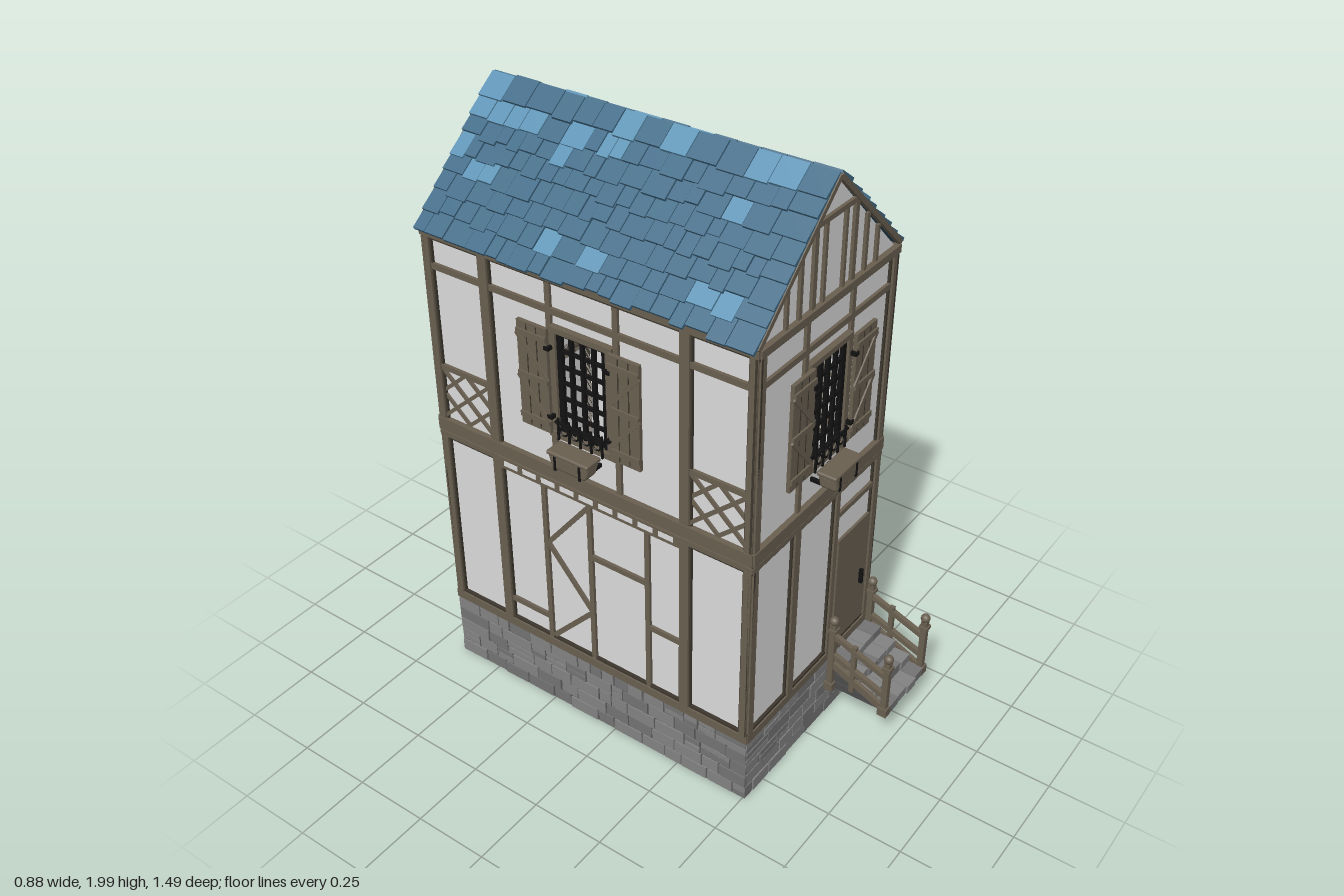
import * as THREE from 'three';
import { mergeGeometries } from 'three/addons/utils/BufferGeometryUtils.js';
import { RoundedBoxGeometry } from 'three/addons/geometries/RoundedBoxGeometry.js';

const material = (name, color, side = THREE.FrontSide) => {
  const m = new THREE.MeshStandardMaterial({ color, side });
  m.name = name;
  return m;
};
const plaster = material('plaster', 0xdcdcdc, THREE.DoubleSide);
const timber = material('timber', 0x6a6051);
const darkTimber = material('dark timber', 0x3d372e);
const iron = material('iron', 0x121212);
const stone = material('stone', 0x838383);
const darkStone = material('dark stone', 0x747474);
const mortar = material('mortar', 0x4c4c4c);
const slate = material('blue slate', 0x416b87);
const paleSlate = material('pale slate', 0x5d93b4);
const deepSlate = material('deep slate', 0x2d4c62, THREE.DoubleSide);

let seed = 7;
const rand = (a = 0, b = 1) => {
  seed = (seed * 16807) % 2147483647;
  return a + (b - a) * (seed / 2147483647);
};

function add(parent, name, geometry, mat, x = 0, y = 0, z = 0) {
  const m = new THREE.Mesh(geometry, mat);
  m.name = name;
  m.position.set(x, y, z);
  parent.add(m);
  return m;
}
const box = (p, name, mat, x, y, z, w, h, d) => add(p, name, new THREE.BoxGeometry(w, h, d), mat, x, y, z);

// Straight timber between two points on a wall face; its back sits at depth z0
function bar(p, name, mat, x1, y1, x2, y2, w, d = 0.01, z0 = 0) {
  const m = box(p, name, mat, (x1 + x2) / 2, (y1 + y2) / 2, z0 + d / 2, Math.hypot(x2 - x1, y2 - y1), w, d);
  m.rotation.z = Math.atan2(y2 - y1, x2 - x1);
  return m;
}
// Heavy post with a thin dark edge
function post(p, x, y1, y2, w) {
  bar(p, 'postEdge', darkTimber, x, y1, x, y2, w + 0.012, 0.008);
  bar(p, 'post', timber, x, y1, x, y2, w, 0.015);
}

// Group whose +x runs along the wall and +z points out of the house
function face(house, name, x, z, turn) {
  const g = new THREE.Group();
  g.name = name;
  g.position.set(x, 0, z);
  g.rotation.y = turn;
  house.add(g);
  return g;
}

function rectPath(PathType, x1, y1, x2, y2) {
  return new PathType([[x1, y1], [x2, y1], [x2, y2], [x1, y2]].map(([x, y]) => new THREE.Vector2(x, y)));
}

// Wall sheet with a window opening, ring beams and rubble base
function wallBasics(g, half) {
  const sheet = rectPath(THREE.Shape, -half, 0, half, 1.62);
  sheet.holes.push(rectPath(THREE.Path, -0.09, 1.115, 0.09, 1.45));
  add(g, 'plasterWall', new THREE.ShapeGeometry(sheet), plaster);
  const e = half + 0.012;
  [[0.256, 0.03, 0.015], [0.915, 0.018, 0.015], [0.952, 0.044, 0.018], [1.618, 0.024, 0.018]]
    .forEach(([y, h, d]) => bar(g, 'ringBeam', timber, -e, y, e, y, h, d));
  [[0.929, 0.012], [1.602, 0.012], [0.902, 0.01], [0.275, 0.01]]
    .forEach(([y, h]) => bar(g, 'beamEdge', darkTimber, -e, y, e, y, h, 0.01));
  for (const s of [-1, 1]) for (const [a, b] of [[0.27, 0.905], [0.97, 1.61]]) post(g, s * (half - 0.004), a, b, 0.026);

  bar(g, 'mortarBed', mortar, -half, 0.12, half, 0.12, 0.24, 0.007);
  const lists = [[], []];
  const rowH = 0.24 / 5;
  for (let r = 0; r < 5; r++) {
    for (let x = -e; x < e - 0.01;) {
      let w = rand(0.045, 0.13);
      if (e - x - w < 0.04) w = e - x;
      const split = rand() < 0.2 ? 2 : 1;
      for (let k = 0; k < split; k++) {
        const h = rowH / split, d = rand(0.009, 0.013);
        const b = new THREE.BoxGeometry(w - 0.005, h - 0.004, d);
        b.rotateZ(rand(-0.02, 0.02));
        b.translate(x + w / 2, r * rowH + (k + 0.5) * h, d / 2);
        lists[rand() < 0.65 ? 0 : 1].push(b);
      }
      x += w;
    }
  }
  add(g, 'baseStones', mergeGeometries(lists[0]), stone);
  add(g, 'baseDarkStones', mergeGeometries(lists[1]), darkStone);
}

// Upper bay: rails, lattice window, shutters and flower box
function windowBay(g) {
  bar(g, 'upperRail', timber, -0.335, 1.508, 0.335, 1.508, 0.02);
  for (const s of [-1, 1]) {
    bar(g, 'stud', timber, s * 0.118, 0.97, s * 0.118, 1.6, 0.018);
    bar(g, 'windowJamb', timber, s * 0.1, 1.1, s * 0.1, 1.465, 0.022, 0.02);
    // Braced shutter
    const x1 = s * 0.108, x2 = s * 0.216;
    bar(g, 'shutter', timber, (x1 + x2) / 2, 1.11, (x1 + x2) / 2, 1.46, 0.108, 0.012, 0.022);
    for (const t of [1 / 3, 2 / 3]) {
      const x = x1 + (x2 - x1) * t;
      bar(g, 'shutterGap', darkTimber, x, 1.115, x, 1.455, 0.004, 0.001, 0.0338);
    }
    for (const y of [1.145, 1.285, 1.425]) bar(g, 'shutterBatten', timber, x1, y, x2, y, 0.018, 0.007, 0.033);
    for (const y of [1.15, 1.29]) bar(g, 'shutterBrace', timber, x1, y, x2, y + 0.13, 0.014, 0.006, 0.033);
    for (const y of [1.17, 1.4]) box(g, 'shutterHinge', iron, s * 0.107, y, 0.026, 0.018, 0.012, 0.025);
  }
  bar(g, 'windowHead', timber, -0.11, 1.457, 0.11, 1.457, 0.018, 0.02);
  bar(g, 'windowSill', timber, -0.12, 1.106, 0.12, 1.106, 0.02, 0.025);
  const inner = add(g, 'innerBoard', new THREE.PlaneGeometry(0.18, 0.335), timber, 0, 1.283, -0.004);
  inner.rotation.y = Math.PI;
  for (let i = 0; i < 5; i++) {
    const x = -0.08 + i * 0.04;
    bar(g, 'windowBar', iron, x, 1.115, x, 1.45, i % 4 ? 0.012 : 0.018, 0.012);
  }
  for (let i = 0; i < 7; i++) bar(g, 'windowBar', iron, -0.09, 1.125 + i * 0.053, 0.09, 1.125 + i * 0.053, 0.01, 0.01);

  // Tapered flower box on iron scrolls
  const tub = new RoundedBoxGeometry(0.146, 0.055, 0.06, 2, 0.012);
  const p = tub.attributes.position;
  for (let i = 0; i < p.count; i++) if (p.getY(i) < 0) p.setX(i, p.getX(i) * 0.87);
  add(g, 'flowerBox', tub, timber, 0, 1.07, 0.066);
  add(g, 'flowerBoxRim', new RoundedBoxGeometry(0.152, 0.014, 0.066, 2, 0.006), timber, 0, 1.096, 0.066);
  for (const x of [-0.045, 0.045]) {
    bar(g, 'boxStrap', iron, x, 1.042, x, 1.09, 0.008, 0.004, 0.094);
    box(g, 'boxBracket', iron, x, 1.045, 0.035, 0.01, 0.012, 0.07);
  }
  bar(g, 'ironRail', iron, -0.09, 1.16, 0.09, 1.16, 0.007, 0.007, 0.03);
  for (let i = 0; i < 5; i++) {
    const x = -0.08 + i * 0.04;
    bar(g, 'ironUpright', iron, x, 1.1, x, 1.175, 0.006, 0.006, 0.03);
    if (i < 4) add(g, 'ironScroll', new THREE.TorusGeometry(0.014, 0.003, 5, 12), iron, x + 0.02, 1.135, 0.033);
  }
}

// Lower bay: studs, zigzag brace and row of joist gaps
function timberBay(g) {
  bar(g, 'joistBand', timber, -0.34, 0.904, 0.34, 0.904, 0.04, 0.017);
  for (let i = 0; i < 9; i++) bar(g, 'joistGap', plaster, -0.32 + i * 0.073, 0.905, -0.267 + i * 0.073, 0.905, 0.018, 0.002, 0.0165);
  for (const x of [-0.175, 0, 0.215]) bar(g, 'stud', timber, x, 0.27, x, 0.89, 0.017);
  const zig = [[0, 0.875], [-0.17, 0.66], [0, 0.46], [-0.165, 0.28]];
  for (let i = 0; i < 3; i++) bar(g, 'zigzagBrace', timber, ...zig[i], ...zig[i + 1], 0.016, 0.009);
  [[0, 0.215, 0.685], [0.215, 0.34, 0.515], [-0.34, -0.175, 0.355]]
    .forEach(([a, b, y]) => bar(g, 'crossRail', timber, a, y, b, y, 0.018));
}

// Narrow end bay of a long wall with a star lattice
function endBay(g, c) {
  const w = 0.1, y = 1.07, h = 0.09;
  bar(g, 'upperRail', timber, c - w, 1.508, c + w, 1.508, 0.02);
  bar(g, 'latticeRail', timber, c - w, 1.163, c + w, 1.163, 0.018);
  for (const s of [-1, 1]) {
    bar(g, 'latticeCross', timber, c - w, y - s * h, c + w, y + s * h, 0.012, 0.008);
    for (const t of [-1, 1]) bar(g, 'latticeDiamond', timber, c + s * w, y, c, y + t * h, 0.012, 0.007);
  }
}

// Gable triangle with studs, collar and rake boards
function gable(g) {
  const tri = new THREE.Shape([[-0.35, 1.62], [0.35, 1.62], [0, 1.965]].map(a => new THREE.Vector2(...a)));
  add(g, 'gableWall', new THREE.ShapeGeometry(tri), plaster);
  bar(g, 'collar', timber, -0.11, 1.87, 0.11, 1.87, 0.016);
  for (const s of [-1, 1]) {
    bar(g, 'rakeBoard', timber, s * 0.362, 1.632, 0, 1.975, 0.016, 0.014);
    for (const [x, w] of [[0.05, 0.012], [0.1, 0.018], [0.165, 0.014], [0.228, 0.012]])
      bar(g, 'gableStud', timber, s * x, 1.62, s * x, Math.min(1.87, 1.965 - x * 0.98), w);
  }
}

// Roof sheets covered in overlapping slates
function roof(house) {
  const g = new THREE.Group();
  g.name = 'roof';
  house.add(g);
  const top = 1.975, ang = Math.atan2(0.345, 0.358), len = 0.497;
  const lists = [[], []];
  for (const s of [-1, 1]) {
    const place = (geo, d, n, tilt) => geo.rotateZ(-s * (ang - tilt))
      .translate(s * (d * Math.cos(ang) + n * Math.sin(ang)), top - d * Math.sin(ang) + n * Math.cos(ang), 0);
    add(g, 'roofSheet', place(new THREE.BoxGeometry(len, 0.006, 1.165), len / 2, 0, 0), deepSlate, 0, 0, -0.075);
    for (let r = 0; r < 8; r++) {
      for (let z = -0.66; z < 0.505;) {
        let w = r ? rand(0.04, 0.085) : rand(0.07, 0.1);
        if (0.51 - z - w < 0.035) w = 0.51 - z;
        const l = 0.082 + rand(-0.008, 0.01);
        const t = place(new THREE.BoxGeometry(l, 0.011, w - 0.003), r * 0.0615 + l / 2 - 0.003, 0.009 + rand(0, 0.004), 0.13);
        lists[rand() < (r < 2 ? 0.3 : 0.14) ? 1 : 0].push(t.translate(0, 0, z + w / 2));
        z += w;
      }
    }
  }
  add(g, 'slates', mergeGeometries(lists[0]), slate);
  add(g, 'paleSlates', mergeGeometries(lists[1]), paleSlate);
}

// Front steps with railings
function stairs(house) {
  const g = new THREE.Group();
  g.name = 'frontSteps';
  house.add(g);
  for (let i = 0; i < 4; i++) {
    const y = 0.12 + i * 0.031, z = 0.74 - i * 0.056;
    box(g, 'stepCore', mortar, 0.232, y + 0.012, (0.51 + z) / 2 - 0.003, 0.222, 0.026, z - 0.516);
    for (let k = 0; k < 4; k++) {
      const w = 0.056;
      box(g, 'stepStone', (i + k) % 3 ? stone : darkStone, 0.148 + k * w, y + 0.016, z - 0.03 + rand(-0.003, 0.004), w - 0.003, 0.03, 0.06);
    }
  }
  for (const x of [0.112, 0.35]) {
    for (const [z, y1, y2] of [[0.725, 0.12, 0.34], [0.525, 0.12, 0.395]]) {
      box(g, 'newelPost', timber, x, (y1 + y2) / 2, z, 0.02, y2 - y1, 0.02);
      box(g, 'newelFoot', timber, x, y1 + 0.015, z, 0.032, 0.03, 0.032);
      box(g, 'newelCap', timber, x, y2 - 0.025, z, 0.03, 0.012, 0.03);
      add(g, 'newelBall', new THREE.SphereGeometry(0.016, 12, 8), timber, x, y2 + 0.012, z);
    }
    box(g, 'baluster', timber, x, 0.245, 0.605, 0.014, 0.19, 0.016);
    for (const y of [0.275, 0.195]) {
      const rail = box(g, 'handrail', timber, x, y + 0.037, 0.625, 0.016, 0.018, 0.215);
      rail.rotation.x = Math.atan2(0.075, 0.2);
    }
    const skirt = box(g, 'stairSkirt', timber, x, 0.185, 0.625, 0.014, 0.025, 0.22);
    skirt.rotation.x = Math.atan2(0.09, 0.2);
  }
}

export function createModel() {
  const house = new THREE.Group();
  house.name = 'timberHouse';
  const front = face(house, 'frontWall', 0, 0.498, 0);
  const back = face(house, 'backWall', 0, -0.648, Math.PI);
  for (const g of [front, back]) {
    wallBasics(g, 0.343);
    windowBay(g);
    gable(g);
  }
  timberBay(back);
  for (const s of [-1, 1]) {
    const side = face(house, s > 0 ? 'leftWall' : 'rightWall', s * 0.343, -0.075, s * Math.PI / 2);
    wallBasics(side, 0.573);
    windowBay(side);
    timberBay(side);
    for (const t of [-1, 1]) {
      for (const [a, b] of [[0.27, 0.905], [0.97, 1.61]]) post(side, t * 0.352, a, b, 0.032);
      endBay(side, t * 0.463);
    }
  }

  // Ground floor front: posts, door and handle
  post(front, -0.12, 0.27, 0.905, 0.03);
  post(front, 0.105, 0.27, 0.905, 0.02);
  bar(front, 'doorRail', timber, 0.115, 0.81, 0.335, 0.81, 0.018);
  bar(front, 'door', timber, 0.232, 0.25, 0.232, 0.7, 0.19, 0.009);
  bar(front, 'doorHandle', iron, 0.287, 0.44, 0.287, 0.495, 0.01, 0.012, 0.009);

  roof(house);
  stairs(house);
  return house;
}
